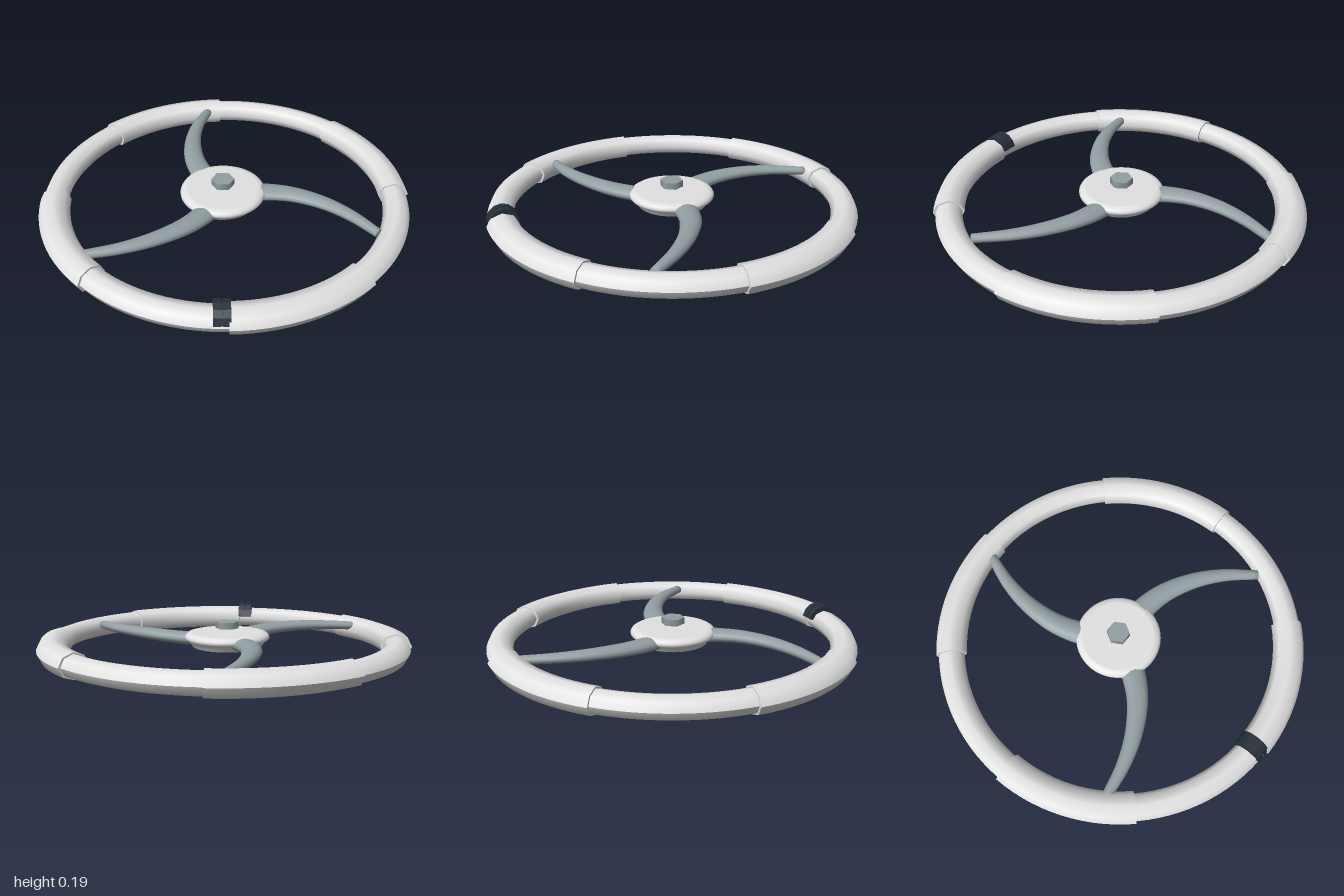
import * as THREE from 'three';

const mat = (name, color, side = THREE.FrontSide) => {
  const m = new THREE.MeshStandardMaterial({ color, side });
  m.name = name;
  return m;
};

export function createModel() {
  const group = new THREE.Group();
  const paleGrey = mat('pale grey', 0xe2e2e2, THREE.DoubleSide);
  const steel = mat('steel grey', 0x929fa2);
  const black = mat('blue black', 0x27323b);
  const add = (name, geo, material, parent = group) => {
    const mesh = new THREE.Mesh(geo, material);
    mesh.name = name;
    parent.add(mesh);
    return mesh;
  };

  // Rim: eight arcs, alternately thick sleeves and thinner tubes, octagonal in section
  const R = 0.916, midY = 0.0675;
  const octagon = (a, b) => Array.from({ length: 9 }, (_, i) => {
    const t = i * Math.PI / 4;
    return new THREE.Vector2(R + a * Math.cos(t), midY + b * Math.sin(t));
  });
  // cut angles, counter-clockwise from +x seen from above
  const cuts = [0, 45.3, 90.8, 135.5, 180, 224.2, 269.7, 314.3, 360].map(THREE.MathUtils.degToRad);
  for (let i = 0; i < 8; i++) {
    const sleeve = i % 2 === 0;
    const profile = sleeve ? octagon(0.083, 0.0675) : octagon(0.07, 0.0585);
    const arc = new THREE.LatheGeometry(profile, 14, cuts[i] + Math.PI / 2, cuts[i + 1] - cuts[i]);
    add(sleeve ? 'rimSleeve' : 'rimTube', arc, paleGrey);
    if (!sleeve) continue;
    // flat end faces of the sleeve
    const cap = new THREE.ShapeGeometry(new THREE.Shape(profile.slice(0, 8)));
    for (const angle of [cuts[i], cuts[i + 1]]) add('sleeveEnd', cap, paleGrey).rotation.y = angle;
  }

  // Centre assembly, slightly off to one side
  const centre = new THREE.Group();
  centre.name = 'centreAssembly';
  centre.position.x = -0.013;
  group.add(centre);

  // Hub: underside, tapered side with rounded lip, flat top
  const hubParts = {
    hubUnderside: [[0, 0.052], [0.186, 0.052]],
    hubSide: [[0.186, 0.052], [0.195, 0.065], [0.207, 0.082], [0.222, 0.09], [0.229, 0.098],
      [0.229, 0.108], [0.223, 0.118], [0.212, 0.125], [0.195, 0.129]],
    hubTop: [[0.195, 0.129], [0, 0.129]],
  };
  for (const [name, points] of Object.entries(hubParts)) {
    add(name, new THREE.LatheGeometry(points.map((p) => new THREE.Vector2(...p)), 48), paleGrey, centre);
  }

  // Hexagonal bolt head with corners on the x axis
  const bolt = new THREE.CylinderGeometry(0.062, 0.062, 0.036, 6).rotateY(Math.PI / 6);
  add('boltHead', bolt, steel, centre).position.y = 0.168;

  // Spokes: swept tapering ellipses
  const path = new THREE.CatmullRomCurve3([
    [0.15, 0.09, -0.005], [0.24, 0.093, 0], [0.365, 0.099, 0.03], [0.525, 0.102, 0.112],
    [0.66, 0.099, 0.222], [0.782, 0.092, 0.363]].map((p) => new THREE.Vector3(...p)));
  const spoke = sweep(path, 24, 14, (t) => [0.069 - 0.043 * t, 0.036 - 0.013 * t]);
  for (let i = 0; i < 3; i++) add('spoke', spoke, steel, centre).rotation.y = i * Math.PI * 2 / 3;

  // Clip: two ribs and a lower web saddling the rim
  const saddle = (a, b, width) => {
    const arc = (ra, rb) => Array.from({ length: 7 }, (_, i) => {
      const t = 0.2 + (Math.PI - 0.4) * i / 6;
      return new THREE.Vector2(ra * Math.cos(t), rb * Math.sin(t));
    });
    const shape = new THREE.Shape([...arc(a, b), ...arc(0.064, 0.052).reverse()]);
    return new THREE.ExtrudeGeometry(shape, { depth: width, bevelEnabled: false })
      .translate(0, 0, -width / 2).rotateY(-Math.PI / 2);
  };
  const clip = new THREE.Group();
  clip.name = 'clip';
  clip.position.set(-0.037, midY, 0.908);
  group.add(clip);
  for (const x of [-0.023, 0.023]) add('clipRib', saddle(0.082, 0.088, 0.036), black, clip).position.x = x;
  add('clipWeb', saddle(0.077, 0.08, 0.02), black, clip);

  return group;
}

// Closed tube of elliptical rings along a curve, size(t) = [half width, half height]
function sweep(curve, steps, sides, size) {
  const pos = [], index = [];
  const up = new THREE.Vector3(0, 1, 0);
  const ring = (t, k) => {
    const c = curve.getPointAt(t), tangent = curve.getTangentAt(t);
    const side = new THREE.Vector3().crossVectors(tangent, up).normalize();
    const over = new THREE.Vector3().crossVectors(side, tangent);
    const [w, h] = size(t);
    for (let j = 0; j < sides; j++) {
      const a = j / sides * Math.PI * 2;
      const p = c.clone().addScaledVector(side, w * k * Math.cos(a)).addScaledVector(over, h * k * Math.sin(a));
      pos.push(p.x, p.y, p.z);
    }
  };
  ring(0, 0.001);
  for (let i = 0; i <= steps; i++) ring(i / steps, 1);
  ring(1, 0.001);
  for (let i = 0; i < steps + 2; i++) for (let j = 0; j < sides; j++) {
    const a = i * sides + j, b = i * sides + (j + 1) % sides;
    index.push(a, a + sides, b, b, a + sides, b + sides);
  }
  const g = new THREE.BufferGeometry();
  g.setAttribute('position', new THREE.Float32BufferAttribute(pos, 3));
  g.setIndex(index);
  g.computeVertexNormals();
  return g;
}
